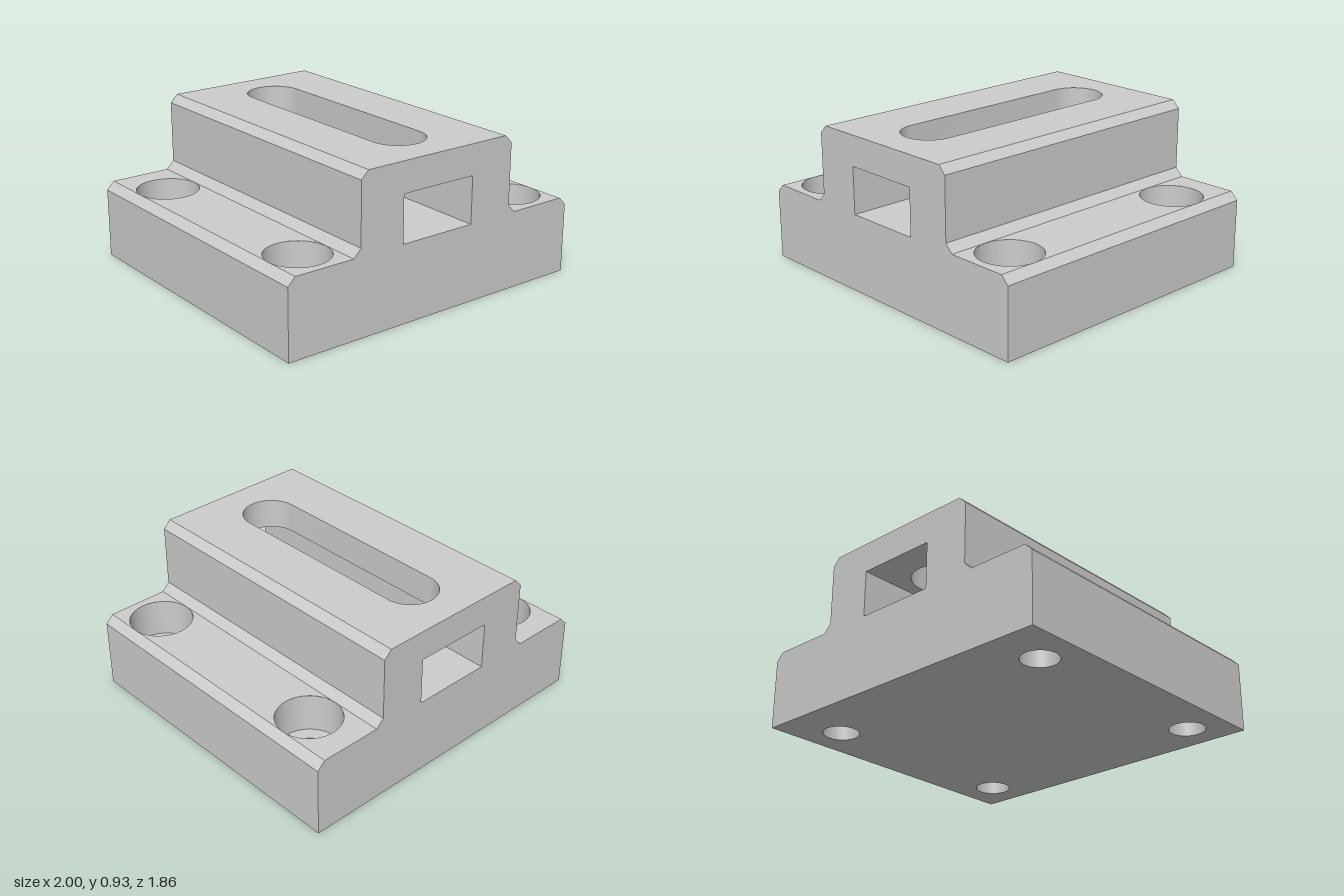
import * as THREE from 'three';
import { toCreasedNormals } from 'three/addons/utils/BufferGeometryUtils.js';

const D = 0.93;               // half depth
const BASE = 0.467, TOP = 0.933;
const BORE_X = 0.767, BORE_Z = [-0.607, 0.695];
const HOLE_R = 0.107, BORE_R = 0.186, BORE_FLOOR = 0.237;
const CH = { x: 0.245, y0: BASE, y1: 0.75 };
const SLOT = { r: 0.165, z0: -0.75, z1: 0.742 };
const SEG = 48;

// Open outlines of the right flank, bottom to top
const foot = [[1, 0], [1, 0.42], [0.953, BASE]];
const shoulder = [[0.58, BASE], [0.533, 0.515], [0.533, 0.886], [0.487, TOP]];
const mirror = (pts) => pts.map(([x, y]) => [-x, y]).reverse();
const toShape = (pts) => new THREE.Shape(pts.map(([x, y]) => new THREE.Vector2(x, y)));

// Sweeps an outline along z; the surface faces to the right of its direction
function wall(pts, z0, z1) {
  const pos = [];
  for (let i = 0; i + 1 < pts.length; i++) {
    const [a, b] = [pts[i], pts[i + 1]];
    pos.push(...a, z0, ...b, z0, ...b, z1, ...a, z0, ...b, z1, ...a, z1);
  }
  const g = new THREE.BufferGeometry();
  g.setAttribute('position', new THREE.Float32BufferAttribute(pos, 3));
  g.computeVertexNormals();
  return g;
}

// Rectangle in x and z with holes, lying at height y and facing up or down
function panel(x0, x1, y, up, holes = []) {
  const s = up ? -1 : 1;
  const shape = toShape([[x0, -D], [x1, -D], [x1, D], [x0, D]]);
  shape.holes = holes.map((h) => h(s));
  return new THREE.ShapeGeometry(shape, SEG / 2).rotateX(s * Math.PI / 2).translate(0, y, 0);
}

const round = (x, z, r) => (s) => toShape(Array.from({ length: SEG }, (_, i) => {
  const a = i / SEG * Math.PI * 2;
  return [x + r * Math.sin(a), s * (z + r * Math.cos(a))];
}));

// Slot with half-round ends
function slotPoints(s) {
  const pts = [];
  for (const [z, a0] of [[SLOT.z1 - SLOT.r, 0], [SLOT.z0 + SLOT.r, Math.PI]]) {
    for (let i = 0; i <= SEG / 2; i++) {
      const a = a0 + i / (SEG / 2) * Math.PI;
      pts.push([SLOT.r * Math.cos(a), s * (z + SLOT.r * Math.sin(a))]);
    }
  }
  return pts;
}
const slot = (s) => toShape(slotPoints(s));

export function createModel() {
  const model = new THREE.Group();
  const material = new THREE.MeshStandardMaterial({ color: 0xcccccc });
  const add = (name, geometry) => {
    const mesh = new THREE.Mesh(geometry, material);
    mesh.name = name;
    model.add(mesh);
    return mesh;
  };

  // End faces with the channel opening
  const profile = toShape([...foot, ...shoulder, ...mirror(shoulder), ...mirror(foot)]);
  profile.holes.push(toShape([[-CH.x, CH.y0], [-CH.x, CH.y1], [CH.x, CH.y1], [CH.x, CH.y0]]));
  add('frontFace', new THREE.ShapeGeometry(profile).translate(0, 0, D));
  add('backFace', new THREE.ShapeGeometry(profile).rotateY(Math.PI).translate(0, 0, -D));

  // Flanks with their chamfers
  add('leftFoot', wall(foot, -D, D));
  add('leftShoulder', wall(shoulder, -D, D));
  add('rightFoot', wall(mirror(foot), -D, D));
  add('rightShoulder', wall(mirror(shoulder), -D, D));

  // Bottom, flange decks and ridge top
  const under = [];
  for (const x of [-BORE_X, BORE_X]) {
    for (const z of BORE_Z) under.push(round(x, z, HOLE_R));
  }
  add('bottom', panel(-1, 1, 0, false, under));
  for (const [name, side] of [['leftDeck', 1], ['rightDeck', -1]]) {
    const c = side * (0.953 + 0.58) / 2, w = (0.953 - 0.58) / 2;
    add(name, panel(c - w, c + w, BASE, true, BORE_Z.map((z) => round(c, z, BORE_R))));
  }
  add('ridgeTop', panel(-0.487, 0.487, TOP, true, [slot]));

  // Counterbored mounting holes
  const bore = toCreasedNormals(new THREE.LatheGeometry([
    [BORE_R, BASE], [BORE_R, BORE_FLOOR], [HOLE_R, BORE_FLOOR], [HOLE_R, 0],
  ].map(([r, y]) => new THREE.Vector2(r, y)), SEG), 0.6);
  for (const x of [-BORE_X, BORE_X]) {
    for (const z of BORE_Z) add('mountingHole', bore).position.set(x, 0, z);
  }

  // Channel through the ridge, opened upward by the slot
  add('channelWalls', wall([[CH.x, CH.y1], [CH.x, CH.y0], [-CH.x, CH.y0], [-CH.x, CH.y1]], -D, D));
  add('channelCeiling', panel(-CH.x, CH.x, CH.y1, false, [slot]));
  const outline = slotPoints(-1);
  outline.push(outline[0]);
  add('slotWall', toCreasedNormals(wall(outline, CH.y1, TOP).rotateX(-Math.PI / 2), 0.6));

  return model;
}
